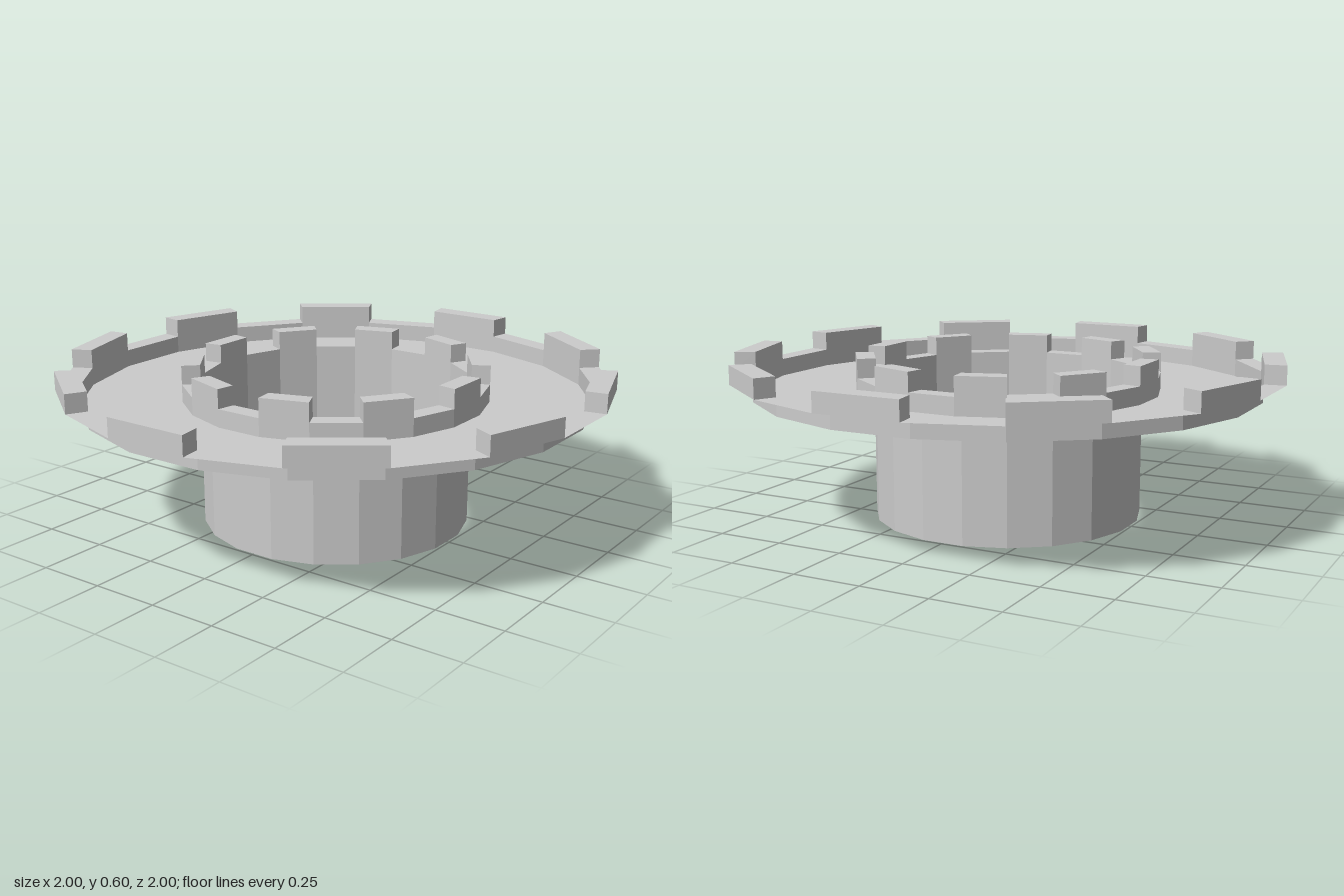
import * as THREE from 'three';

const SIDES = 20;
const STEP = (Math.PI * 2) / SIDES;
const K = 1 / Math.cos(STEP / 2); // flat-to-flat radius -> corner radius
const PLATE_Y = 0.465, LEDGE_Y = 0.53, TOP_Y = 0.6;
const TUBE_R = 0.49 * K, HUB_R = 0.557 * K, DISH_R = 0.923 * K, RIM_R = K;

const material = new THREE.MeshStandardMaterial({
  color: 0xcccccc, flatShading: true, side: THREE.DoubleSide,
});

function addMesh(parent, name, geometry) {
  const mesh = new THREE.Mesh(geometry, material);
  mesh.name = name;
  parent.add(mesh);
  return mesh;
}

// Faceted sweep of a [radius, y] profile, with flats centred on the axes
function sweep(profile, first = 0, count = SIDES) {
  const points = profile.map(([r, y]) => new THREE.Vector2(r, y));
  return new THREE.LatheGeometry(points, count, (first - 0.5) * STEP, count * STEP);
}

// Ring that alternates raised hollow teeth with low ledges
function toothedRing(name, inner, outer, firstTooth) {
  const ring = new THREE.Group();
  ring.name = name;
  for (let i = 0; i < SIDES; i++) {
    if (i % 2 !== firstTooth) {
      addMesh(ring, 'ledge', sweep([[outer, LEDGE_Y], [inner, LEDGE_Y]], i, 1));
      continue;
    }
    addMesh(ring, 'tooth', sweep(
      [[outer, LEDGE_Y], [outer, TOP_Y], [inner, TOP_Y], [inner, LEDGE_Y]], i, 1));
    // Two end walls of the tooth
    for (const end of [-0.5, 0.5]) {
      const angle = (i + end) * STEP;
      const r = (inner + outer) / 2;
      const wall = addMesh(ring, 'toothEnd',
        new THREE.PlaneGeometry(outer - inner, TOP_Y - LEDGE_Y));
      wall.position.set(r * Math.sin(angle), (LEDGE_Y + TOP_Y) / 2, r * Math.cos(angle));
      wall.rotation.y = angle - Math.PI / 2 + (end > 0 ? Math.PI : 0);
    }
  }
  return ring;
}

export function createModel() {
  const model = new THREE.Group();
  model.name = 'flangedCollar';

  // Open tube
  addMesh(model, 'tube', sweep([[TUBE_R, 0], [TUBE_R, LEDGE_Y]]));

  // Sunken plate with a low wall at its inner and outer edge
  addMesh(model, 'dish', sweep([
    [DISH_R, LEDGE_Y], [DISH_R, PLATE_Y], [HUB_R, PLATE_Y], [HUB_R, LEDGE_Y],
  ]));

  // Toothed rims, staggered against each other
  model.add(toothedRing('innerRim', TUBE_R, HUB_R, 1));
  model.add(toothedRing('outerRim', DISH_R, RIM_R, 0));
  return model;
}
